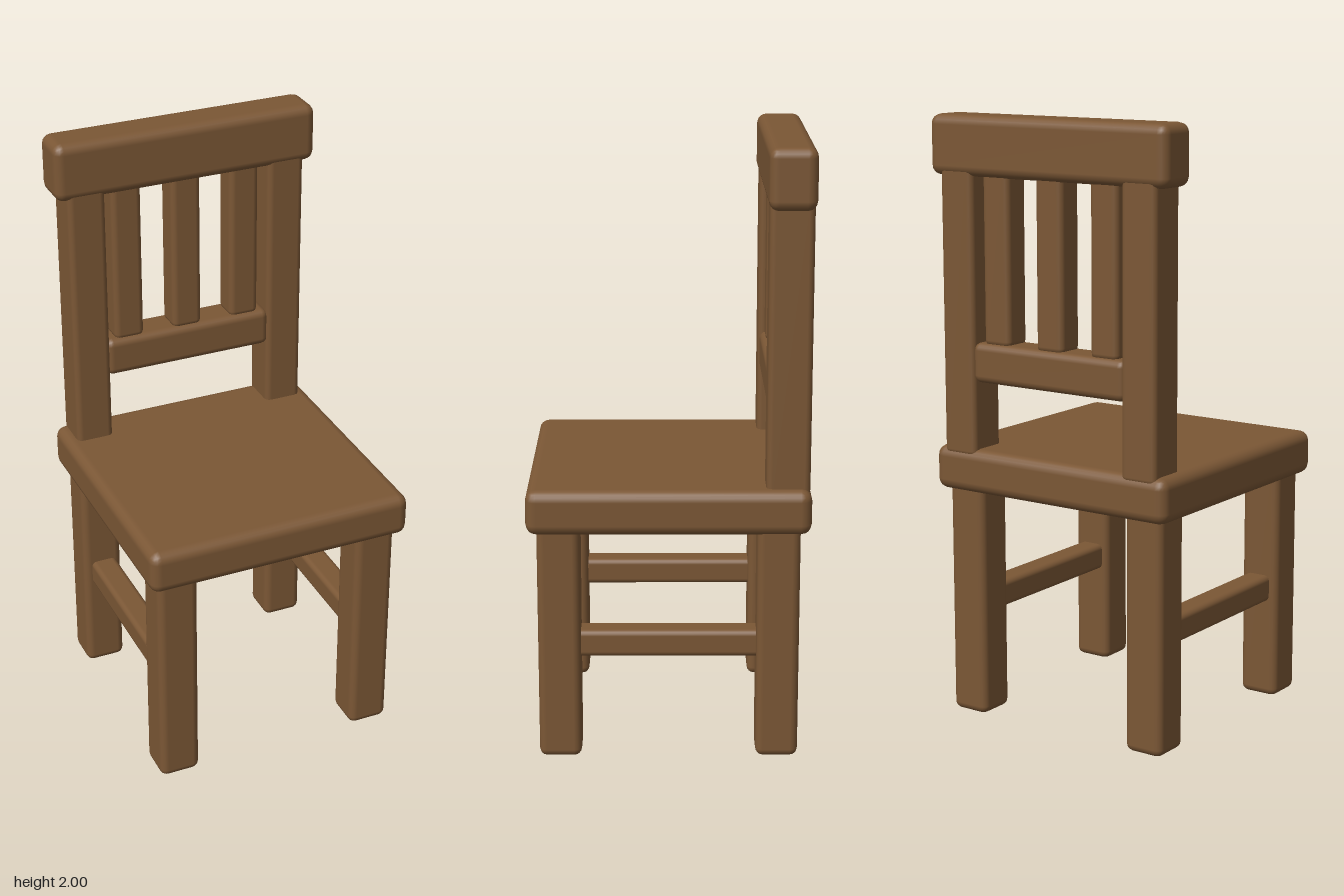
import * as THREE from 'three';
import { RoundedBoxGeometry } from 'three/addons/geometries/RoundedBoxGeometry.js';

export function createModel() {
  const chair = new THREE.Group();
  chair.name = 'chair';

  const wood = new THREE.MeshStandardMaterial({ color: 0x7b5735 });
  wood.name = 'brown wood';

  // Softly bevelled beam given by its extents along each axis
  function beam(name, [x0, x1], [y0, y1], [z0, z1], radius) {
    const geometry = new RoundedBoxGeometry(x1 - x0, y1 - y0, z1 - z0, 2, radius);
    const mesh = new THREE.Mesh(geometry, wood);
    mesh.name = name;
    mesh.position.set((x0 + x1) / 2, (y0 + y1) / 2, (z0 + z1) / 2);
    chair.add(mesh);
  }

  // Extents of a given size around a centre
  const span = (centre, size) => [centre - size / 2, centre + size / 2];

  beam('seat', [-0.455, 0.455], [0.77, 0.917], [-0.455, 0.455], 0.035);

  for (const side of [1, -1]) {
    const label = side > 0 ? 'left' : 'right';
    // Legs
    beam(label + 'FrontLeg', span(side * 0.353, 0.138), [0, 0.8], span(0.353, 0.138), 0.025);
    beam(label + 'BackLeg', span(side * 0.353, 0.138), [0, 0.8], span(-0.353, 0.138), 0.025);
    // Stretcher between front and back leg
    beam(label + 'Stretcher', span(side * 0.35, 0.09), [0.34, 0.43], [-0.3, 0.3], 0.018);
    // Upright carrying the back rest
    beam(label + 'BackPost', span(side * 0.353, 0.128), [0.89, 1.84], span(-0.38, 0.14), 0.02);
  }

  // Back rest
  beam('topRail', [-0.457, 0.457], [1.805, 2], [-0.455, -0.305], 0.032);
  beam('lowerRail', [-0.298, 0.298], [1.14, 1.272], span(-0.38, 0.13), 0.025);
  for (const x of [-0.21, 0, 0.21]) {
    beam('backSlat', span(x, 0.104), [1.262, 1.83], span(-0.38, 0.1), 0.02);
  }

  return chair;
}
